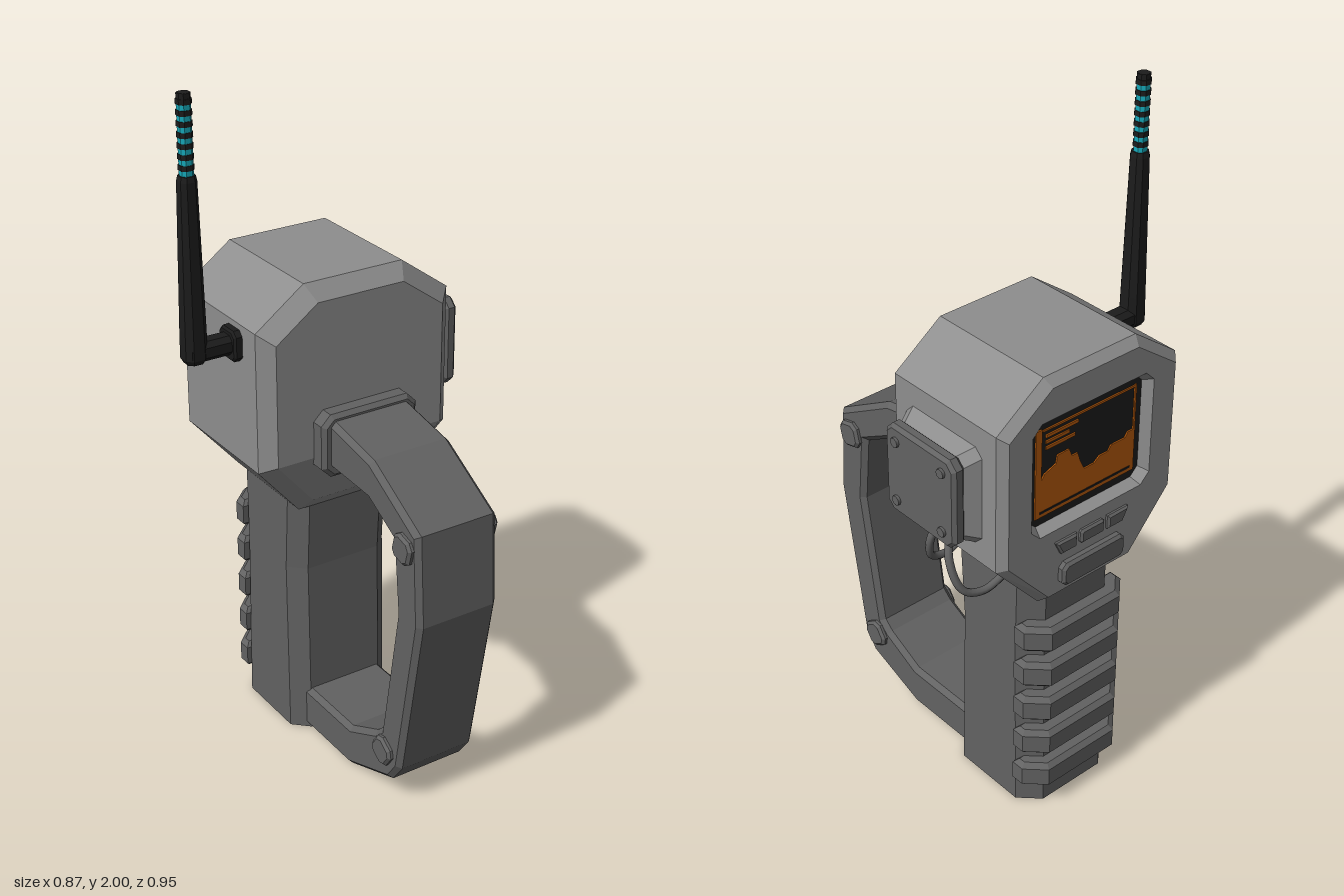
import * as THREE from 'three';

const mat = (name, color, side = THREE.FrontSide) => {
  const m = new THREE.MeshStandardMaterial({ color, side });
  m.name = name;
  return m;
};

// Flat-faced skin over a row of equal-length cross-sections
function loft(rings, caps = true, hub = 2) {
  const pos = [];
  const tri = (a, b, c) => pos.push(...a, ...b, ...c);
  const n = rings[0].length;
  for (let i = 0; i < rings.length - 1; i++) {
    for (let j = 0; j < n; j++) {
      const k = (j + 1) % n, A = rings[i], B = rings[i + 1];
      tri(A[j], A[k], B[k]);
      tri(A[j], B[k], B[j]);
    }
  }
  if (caps) {
    const A = rings[0], B = rings[rings.length - 1];
    for (let s = 1; s < n - 1; s++) {
      const j = (hub + s) % n, k = (hub + s + 1) % n;
      tri(A[hub], A[k], A[j]);
      tri(B[hub], B[j], B[k]);
    }
  }
  const g = new THREE.BufferGeometry();
  g.setAttribute('position', new THREE.Float32BufferAttribute(pos, 3));
  g.computeVertexNormals();
  return g;
}

const toShape = (pts) => new THREE.Shape(pts.map(([x, y]) => new THREE.Vector2(x, y)));

// Rectangle with cut corners, counter-clockwise
const cutRect = (w, h, c) => {
  const x = w / 2, y = h / 2;
  return [[-x + c, -y], [x - c, -y], [x, -y + c], [x, y - c], [x - c, y], [-x + c, y], [-x, y - c], [-x, -y + c]];
};

// Bevelled slab from an outline, total thickness t, starting at z = 0
function slab(pts, t, bevel = 0) {
  const g = new THREE.ExtrudeGeometry(toShape(pts), {
    depth: t - 2 * bevel, bevelEnabled: bevel > 0, bevelThickness: bevel,
    bevelSize: bevel, bevelOffset: -bevel, bevelSegments: 1,
  });
  return g.translate(0, 0, bevel);
}

export function createModel() {
  const model = new THREE.Group();
  model.name = 'handheldScanner';
  const shell = mat('light grey shell', 0x8e8e8e);
  const grey = mat('dark grey plastic', 0x626262);
  const black = mat('black rubber', 0x1c1c1c);
  const cyan = mat('cyan bands', 0x17aabb);
  const orange = mat('orange display', 0xb85a0a);

  const add = (name, geo, material, parent = model, x = 0, y = 0, z = 0) => {
    const m = new THREE.Mesh(geo, material);
    m.name = name;
    m.position.set(x, y, z);
    parent.add(m);
    return m;
  };
  const CX = 0.033, CY = 1.1175;

  // Eight-sided head, chamfered front and back, chin sloping backwards
  const outline = [[-0.125, 0.765], [0.19, 0.765], [0.342, 0.94], [0.342, 1.355],
    [0.19, 1.465], [-0.125, 1.465], [-0.276, 1.355], [-0.276, 0.94]];
  const scaled = (s) => outline.map(([x, y]) => [CX + (x - CX) * s, CY + (y - CY) * s]);
  const ring = (s, z, chinZ) => scaled(s).map(([x, y], i) => [x, y, i < 2 ? chinZ : z]);
  const headRings = [ring(0.93, -0.455, -0.455), ring(1, -0.43, -0.425), ring(1, -0.04, -0.08), ring(0.87, 0, -0.035)];
  const headGeo = loft(headRings);
  // leave the back open: its cap is the panel with the screen opening
  const p = headGeo.getAttribute('position').array, kept = [];
  for (let i = 0; i < p.length; i += 9) {
    if (Math.max(p[i + 2], p[i + 5], p[i + 8]) > -0.454) kept.push(...p.subarray(i, i + 9));
  }
  const openHead = new THREE.BufferGeometry();
  openHead.setAttribute('position', new THREE.Float32BufferAttribute(kept, 3));
  openHead.computeVertexNormals();
  add('head', openHead, shell);

  // Back panel group: local +z points out of the back
  const back = new THREE.Group();
  back.name = 'backPanel';
  back.position.set(CX, 0, -0.455);
  back.rotation.y = Math.PI;
  model.add(back);
  const SY = 1.175;
  const panel = toShape(scaled(0.93).map(([x, y]) => [CX - x, y]).reverse());
  const mouth = cutRect(0.42, 0.35, 0.03), floor = cutRect(0.39, 0.32, 0.025);
  panel.holes.push(new THREE.Path(mouth.map(([x, y]) => new THREE.Vector2(x, y + SY)).reverse()));
  add('backFace', new THREE.ShapeGeometry(panel), shell, back);
  add('screenRecess', loft([mouth.map(([x, y]) => [x, y, 0]), floor.map(([x, y]) => [x, y, -0.03])], false),
    shell, back, 0, SY, 0);
  add('screen', new THREE.ShapeGeometry(toShape(floor)), black, back, 0, SY, -0.03);

  // Display graph and bars
  const graph = [[-0.175, -0.135], [0.175, -0.135], [0.175, -0.005], [0.15, -0.005], [0.14, -0.02], [0.09, -0.02],
    [0.08, -0.035], [0.05, -0.035], [0.03, -0.05], [-0.005, -0.05], [-0.02, -0.02], [-0.03, 0.01], [-0.05, 0.01],
    [-0.06, 0.035], [-0.1, 0.035], [-0.105, 0.01], [-0.145, -0.005], [-0.155, -0.02], [-0.155, 0.135], [-0.175, 0.135]];
  add('displayGraph', slab(graph, 0.004), orange, back, 0, SY, -0.03);
  [[0.012, 0.128, 0.326, 0.006], [0.172, 0.062, 0.006, 0.14], [-0.085, 0.108, 0.11, 0.009],
    [-0.1, 0.09, 0.08, 0.009], [-0.09, 0.072, 0.1, 0.009]].forEach(([x, y, w, h]) =>
    add('displayBar', new THREE.BoxGeometry(w, h, 0.004), orange, back, x, SY + y, -0.028));
  add('displayBaseLine', new THREE.BoxGeometry(0.32, 0.006, 0.002), black, back, 0, SY - 0.12, -0.025);

  // Buttons under the screen
  add('middleButton', slab(cutRect(0.085, 0.042, 0.006), 0.02, 0.006), grey, back, 0, 0.94, -0.008);
  for (const s of [-1, 1]) {
    const pts = [[0.055 * s, -0.021], [0.11 * s, -0.021], [0.13 * s, 0.021], [0.055 * s, 0.021]];
    add('sideButton', slab(s > 0 ? pts : pts.reverse(), 0.02, 0.006), grey, back, 0, 0.94, -0.008);
  }
  add('wideButton', slab(cutRect(0.225, 0.072, 0.015), 0.03, 0.008), grey, back, 0, 0.85, -0.008);

  // Grip with cut corners, flaring slightly toward the foot
  const gripRing = (y, front, rear) => [[-0.12, front], [0.12, front], [0.167, front - 0.045], [0.167, rear + 0.055],
    [0.11, rear], [-0.11, rear], [-0.167, rear + 0.055], [-0.167, front - 0.045]].map(([x, z]) => [x + CX, y, z]);
  add('grip', loft([gripRing(0, -0.085, -0.415), gripRing(0.55, -0.095, -0.405), gripRing(0.8, -0.08, -0.41)]), grey);

  // Finger ribs wrapping the back of the grip
  const rib = slab([[-0.18, 0.36], [0.18, 0.36], [0.18, 0.4], [0.125, 0.453], [-0.125, 0.453], [-0.18, 0.4]],
    0.085, 0.014).rotateX(-Math.PI / 2);
  for (let i = 0; i < 5; i++) add('gripRib', rib, grey, model, CX, 0.08 + i * 0.1245, 0);

  // Front guard handle: outer path, then inner path back, as [z, y]
  const guard = [[0, 1.09], [0.05, 1.085], [0.238, 1.05], [0.458, 0.922], [0.474, 0.65], [0.387, 0.14], [0.344, 0.08],
    [0.138, 0.003], [-0.12, 0.003], [-0.12, 0.138], [0.138, 0.138], [0.265, 0.2], [0.296, 0.228], [0.365, 0.65],
    [0.344, 0.865], [0.228, 0.93], [0.05, 0.94], [0, 0.94]].map(([z, y]) => [-z, y]);
  const across = (pts, t, bevel) => slab(pts, t, bevel).rotateY(Math.PI / 2); // thickness along x
  add('guardHandle', across(guard, 0.26, 0.015), grey, model, CX - 0.13);
  add('handleMount', slab(cutRect(0.31, 0.19, 0.03), 0.075, 0.012), grey, model, CX, 1.008, -0.025);
  [[0.403, 0.866, 0.25], [0.318, 0.17, 0.6]].forEach(([z, y, turn]) => {
    const bolt = add('handleBolt', across(cutRect(0.08, 0.08, 0.018), 0.292, 0.008), grey, model, CX - 0.146, y, z);
    bolt.rotation.x = turn;
  });

  // Side module: tapered base, cover plate, screws
  const sideRing = (x, w, h) => cutRect(w, h, 0.025).map(([a, b]) => [x, 1.143 + b, -0.232 - a]);
  add('sideModuleBase', loft([sideRing(0.335, 0.3, 0.3), sideRing(0.392, 0.245, 0.25)]), shell);
  add('sideModuleCover', across(cutRect(0.272, 0.27, 0.025), 0.04, 0.01), grey, model, 0.385, 1.143, -0.232);
  for (const a of [-1, 1]) for (const b of [-1, 1]) {
    add('coverScrew', new THREE.CylinderGeometry(0.014, 0.014, 0.012, 8).rotateZ(Math.PI / 2), grey, model,
      0.427, 1.143 + a * 0.09, -0.232 + b * 0.09);
  }

  // Two cables looping from the module into the chin
  [[[0.36, 1.02, -0.24], [0.392, 0.96, -0.232], [0.375, 0.89, -0.215], [0.32, 0.868, -0.208], [0.265, 0.885, -0.205]],
    [[0.36, 1.02, -0.28], [0.4, 0.95, -0.315], [0.385, 0.86, -0.35], [0.325, 0.835, -0.363], [0.24, 0.86, -0.365]],
  ].forEach((pts) => {
    const curve = new THREE.CatmullRomCurve3(pts.map((q) => new THREE.Vector3(...q)));
    add('cable', new THREE.TubeGeometry(curve, 24, 0.011, 8), grey);
  });

  // Antenna: socket, elbow arm, tapered mast, banded tip
  const AX = -0.4, AZ = -0.15;
  const mastRing = (y, w) => cutRect(w, w, w * 0.25).map(([x, z]) => [AX + x, y, AZ - z]);
  add('antennaSocket', across(cutRect(0.085, 0.09, 0.015), 0.035, 0.006), black, model, -0.3, 1.293, AZ);
  add('antennaArm', across(cutRect(0.06, 0.056, 0.014), 0.14, 0), black, model, -0.42, 1.295, AZ);
  add('antennaMast', loft([mastRing(1.265, 0.05), mastRing(1.28, 0.066), mastRing(1.36, 0.064),
    mastRing(1.77, 0.048), mastRing(1.785, 0.042)]), black);
  add('antennaTip', loft([mastRing(1.78, 0.03), mastRing(2, 0.03)]), black);
  for (let i = 0; i < 15; i++) {
    const y = 1.785 + i * 0.0143;
    add(i % 2 ? 'blackBand' : 'cyanBand', loft([mastRing(y, i % 2 ? 0.038 : 0.034), mastRing(y + 0.0143, i % 2 ? 0.038 : 0.034)]),
      i % 2 || i === 14 ? black : cyan);
  }
  return model;
}
